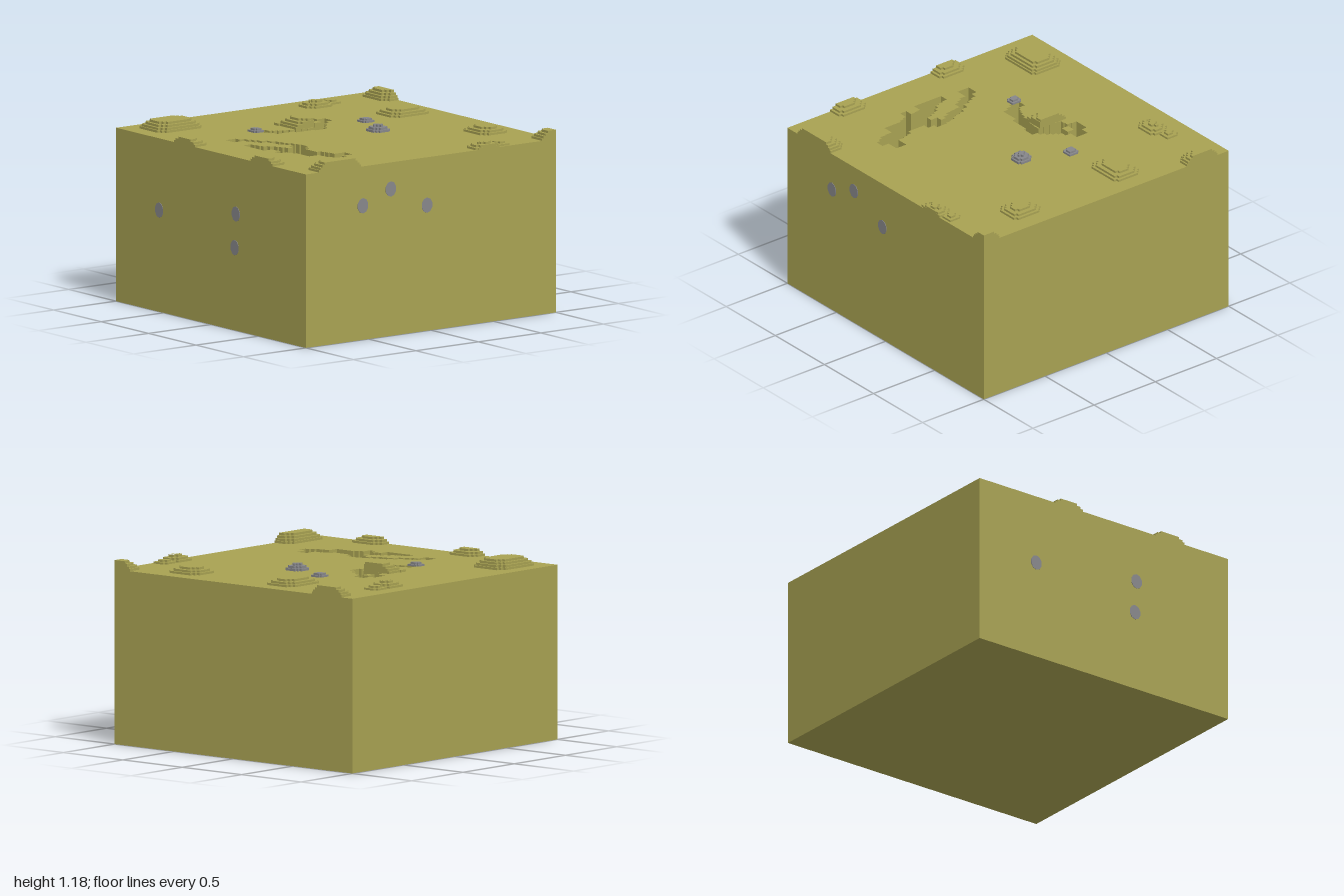
import * as THREE from 'three';

const TOP = 1.125;        // ground level
const CRACK_DEPTH = 0.4;

const earth = new THREE.MeshStandardMaterial({ color: 0xa8a252 });
earth.name = 'olive earth';
const stone = new THREE.MeshStandardMaterial({ color: 0x86868a });
stone.name = 'grey stone';
const shade = new THREE.MeshStandardMaterial({ color: 0x504b2b });
shade.name = 'dark crack floor';

// Turns every slanted edge of an [x, z] outline into small square steps
function stepped(points, size = 0.03) {
  const out = [];
  points.forEach(([x0, z0], i) => {
    const [x1, z1] = points[(i + 1) % points.length];
    const dx = x1 - x0, dz = z1 - z0;
    out.push([x0, z0]);
    if (Math.abs(dx) < 1e-6 || Math.abs(dz) < 1e-6) return;
    const n = Math.max(1, Math.round(Math.max(Math.abs(dx), Math.abs(dz)) / size));
    for (let k = 0; k < n; k++) {
      out.push([x0 + dx * (k + 1) / n, z0 + dz * k / n]);
      if (k < n - 1) out.push([x0 + dx * (k + 1) / n, z0 + dz * (k + 1) / n]);
    }
  });
  return out;
}

const toVectors = (points) => points.map(([x, z]) => new THREE.Vector2(x, -z));

// Upright prism from a ground outline
function prism(shape, bottom, height) {
  const geo = new THREE.ExtrudeGeometry(shape, { depth: height, bevelEnabled: false });
  return geo.rotateX(-Math.PI / 2).translate(0, bottom, 0);
}

// Stepped mound: stacked slabs with notched corners, clipped to the given bounds
function mound(name, material, [x0, x1, z0, z1], height, layers, inset, corner, clip = [-1, 1, -1, 1]) {
  const group = new THREE.Group();
  group.name = name;
  for (let i = 0; i < layers; i++) {
    const t = layers > 1 ? i / (layers - 1) : 0;
    const d = inset * Math.pow(t, 1.4), c = corner;
    const a = x0 + d, b = x1 - d, e = z0 + d, f = z1 - d;
    const ring = stepped([[a + c, e], [b - c, e], [b, e + c], [b, f - c],
      [b - c, f], [a + c, f], [a, f - c], [a, e + c]], 0.02)
      .map(([x, z]) => [
        Math.min(clip[1], Math.max(clip[0], x)),
        Math.min(clip[3], Math.max(clip[2], z))])
      .filter(([x, z], k, all) => {
        const [px, pz] = all[(k + all.length - 1) % all.length];
        return Math.hypot(x - px, z - pz) > 1e-5;
      });
    const step = height / layers;
    const mesh = new THREE.Mesh(prism(new THREE.Shape(toVectors(ring)), TOP + i * step, step), material);
    mesh.name = name + 'Layer';
    group.add(mesh);
  }
  return group;
}

// Crack outlines in hundredths, [x, z]
const CRACKS = [
  [[-45, -25], [-36, -25], [-36, -19], [-32, -19], [-32, -15], [-26, -11], [-20, -5],
    [-16, -5], [-16, 4], [-18, 4], [-18, 18], [-21, 18], [-21, 31], [-29, 35], [-37, 35],
    [-37, 29], [-32, 27], [-29, 21], [-25, 9], [-24, -1], [-41, -2], [-42, -8],
    [-49, -9], [-49, -19], [-45, -19]],
  [[-24, 62], [-20, 62], [-20, 58], [-12, 54], [-7, 50], [-2, 47], [6, 45], [9, 43],
    [17, 41], [25, 41], [25, 44], [30, 44], [30, 48], [39, 48], [43, 45], [50, 43],
    [55, 41], [55, 35], [63, 35], [63, 43], [68, 43], [68, 49], [62, 53], [52, 54],
    [52, 61], [42, 61], [35, 64], [32, 70], [27, 70], [27, 65], [21, 66], [19, 72],
    [-3, 72], [-3, 66], [5, 64], [11, 58], [18, 55], [22, 51], [17, 47], [9, 52],
    [1, 53], [-3, 58], [-10, 62], [-15, 65], [-15, 70], [-24, 70]],
].map((points) => toVectors(stepped(points.map(([x, z]) => [x / 100, z / 100]), 0.04)));

// Earth mounds: [x0, x1, z0, z1], height, layers
const MOUNDS = [
  [[-0.91, -0.66, -1.24, -0.89], 0.06, 4],
  [[-0.91, -0.66, 0.56, 0.895], 0.06, 4],
  [[0.87, 1.12, -1.24, -0.89], 0.06, 4],
  [[0.87, 1.12, 0.56, 0.895], 0.06, 4],
  [[-0.39, -0.17, -0.89, -0.6], 0.042, 3],
  [[-0.39, -0.17, 0.89, 1.18], 0.042, 3],
  [[0.415, 0.65, -0.89, -0.69], 0.042, 3],
  [[0.415, 0.65, 0.89, 1.09], 0.042, 3],
  [[-0.89, -0.74, -0.55, -0.36], 0.042, 3],
  [[0.885, 1.035, -0.55, -0.36], 0.042, 3],
];

export function createModel() {
  const model = new THREE.Group();
  model.name = 'groundBlock';
  const add = (name, geometry, material) => {
    const mesh = new THREE.Mesh(geometry, material);
    mesh.name = name;
    model.add(mesh);
    return mesh;
  };

  // Solid lower block and the upper layer pierced by the cracks
  const low = TOP - CRACK_DEPTH;
  add('lowerBlock', new THREE.BoxGeometry(2, low, 2).translate(0, low / 2, 0), earth);
  const ground = new THREE.Shape(toVectors([[-1, 1], [1, 1], [1, -1], [-1, -1]]));
  ground.holes = CRACKS.map((points) => new THREE.Path(points));
  add('crackedGround', prism(ground, low, CRACK_DEPTH), earth);
  for (const points of CRACKS) add('crackFloor', prism(new THREE.Shape(points), low, 0.008), shade);
  add('crackPillar', new THREE.BoxGeometry(0.05, CRACK_DEPTH, 0.06)
    .translate(-0.385, TOP - CRACK_DEPTH / 2, -0.13), earth);

  // Mounds of earth, those at the rim cut flush with the sides
  for (const [box, height, layers] of MOUNDS) {
    model.add(mound('earthMound', earth, box, height, layers, 0.045, 0.04));
  }
  for (const x of [-0.84, 0.935]) {
    model.add(mound('smallMound', earth, [x - 0.05, x + 0.05, -0.64, -0.54], 0.025, 2, 0.02, 0.02));
  }
  // Mound split by the crack
  model.add(mound('brokenMound', earth, [-0.46, -0.2, -0.15, 0.13], 0.06, 4, 0.055, 0.04, [-1, -0.25, -0.015, 1]));
  model.add(mound('smallMound', earth, [-0.47, -0.4, 0.07, 0.14], 0.015, 1, 0, 0.02));

  // Stones lying on the ground
  model.add(mound('groundStone', stone, [0.04, 0.16, -0.32, -0.2], 0.045, 3, 0.03, 0.03));
  model.add(mound('groundStone', stone, [-0.24, -0.16, -0.43, -0.35], 0.025, 2, 0.012, 0.012));
  model.add(mound('groundStone', stone, [-0.39, -0.31, 0.34, 0.41], 0.025, 2, 0.012, 0.012));

  // Flat stones showing in the front and left faces
  const pebble = new THREE.CylinderGeometry(1, 1, 0.006, 10).rotateX(Math.PI / 2).scale(0.043, 0.05, 1);
  for (const [x, y] of [[-0.545, 0.66], [0.262, 0.757], [0.25, 0.537]]) {
    add('frontStone', pebble, stone).position.set(x, y, 1);
  }
  for (const [z, y] of [[0.545, 0.87], [0.322, 0.953], [0.032, 0.815]]) {
    const mesh = add('sideStone', pebble, stone);
    mesh.position.set(1, y, z);
    mesh.rotation.y = Math.PI / 2;
  }
  return model;
}
